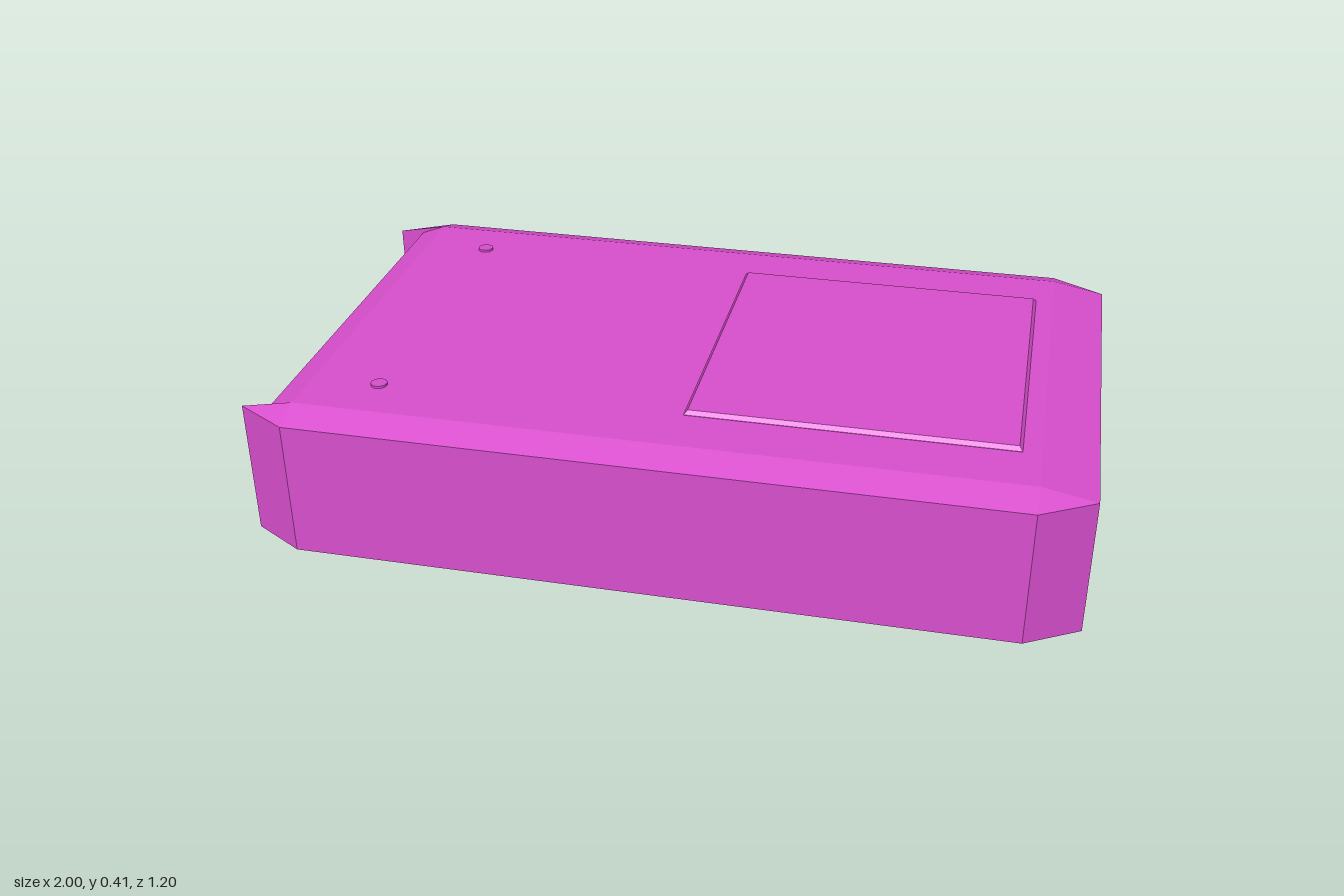
import * as THREE from 'three';
import { ConvexGeometry } from 'three/addons/geometries/ConvexGeometry.js';

const material = new THREE.MeshStandardMaterial({ color: 0xd94fce, flatShading: true });

// Case dimensions: flat caps, and walls pushed out beyond them by the bevel
const CAP_X = 0.87, CAP_Z = 0.525, WALL_X = 1, WALL_Z = 0.6;
const HEIGHT = 0.4, WALL_LOW = 0.03, WALL_HIGH = 0.375, RECESS_X = 0.935;

function hull(name, points) {
  const mesh = new THREE.Mesh(new ConvexGeometry(points), material);
  mesh.name = name;
  return mesh;
}

// The three points of one bevelled corner, for the bottom and the top
function cornerPoints(x, endX, sz) {
  return [[0, WALL_LOW], [HEIGHT, WALL_HIGH]].flatMap(([cap, wall]) => [
    new THREE.Vector3(x, cap, sz * CAP_Z),
    new THREE.Vector3(x, wall, sz * WALL_Z),
    new THREE.Vector3(endX, wall, sz * CAP_Z),
  ]);
}

export function createModel() {
  const model = new THREE.Group();
  model.name = 'bevelledCase';

  // Bevelled case with one end set back
  const bodyPoints = [-1, 1].flatMap((sz) => [
    ...cornerPoints(CAP_X, WALL_X, sz),
    ...cornerPoints(-CAP_X, -RECESS_X, sz),
  ]);
  model.add(hull('caseBody', bodyPoints));

  for (const sz of [-1, 1]) {
    // Corner wedge that projects past the recessed end
    model.add(hull(sz > 0 ? 'frontCornerFin' : 'backCornerFin', cornerPoints(-CAP_X, -WALL_X, sz)));

    // Small round stud on the top
    const stud = new THREE.Mesh(new THREE.CylinderGeometry(0.02, 0.02, 0.02, 16), material);
    stud.name = sz > 0 ? 'frontStud' : 'backStud';
    stud.position.set(-0.7, 0.396, sz * 0.4);
    model.add(stud);
  }

  // Square raised panel with a narrow tapered rim
  const panelPoints = [];
  for (const [y, half] of [[0.39, 0.39], [0.401, 0.39], [0.411, 0.382]])
    for (const sx of [-1, 1])
      for (const sz of [-1, 1])
        panelPoints.push(new THREE.Vector3(0.437 + sx * half, y, -0.002 + sz * half));
  model.add(hull('topPanel', panelPoints));

  return model;
}
